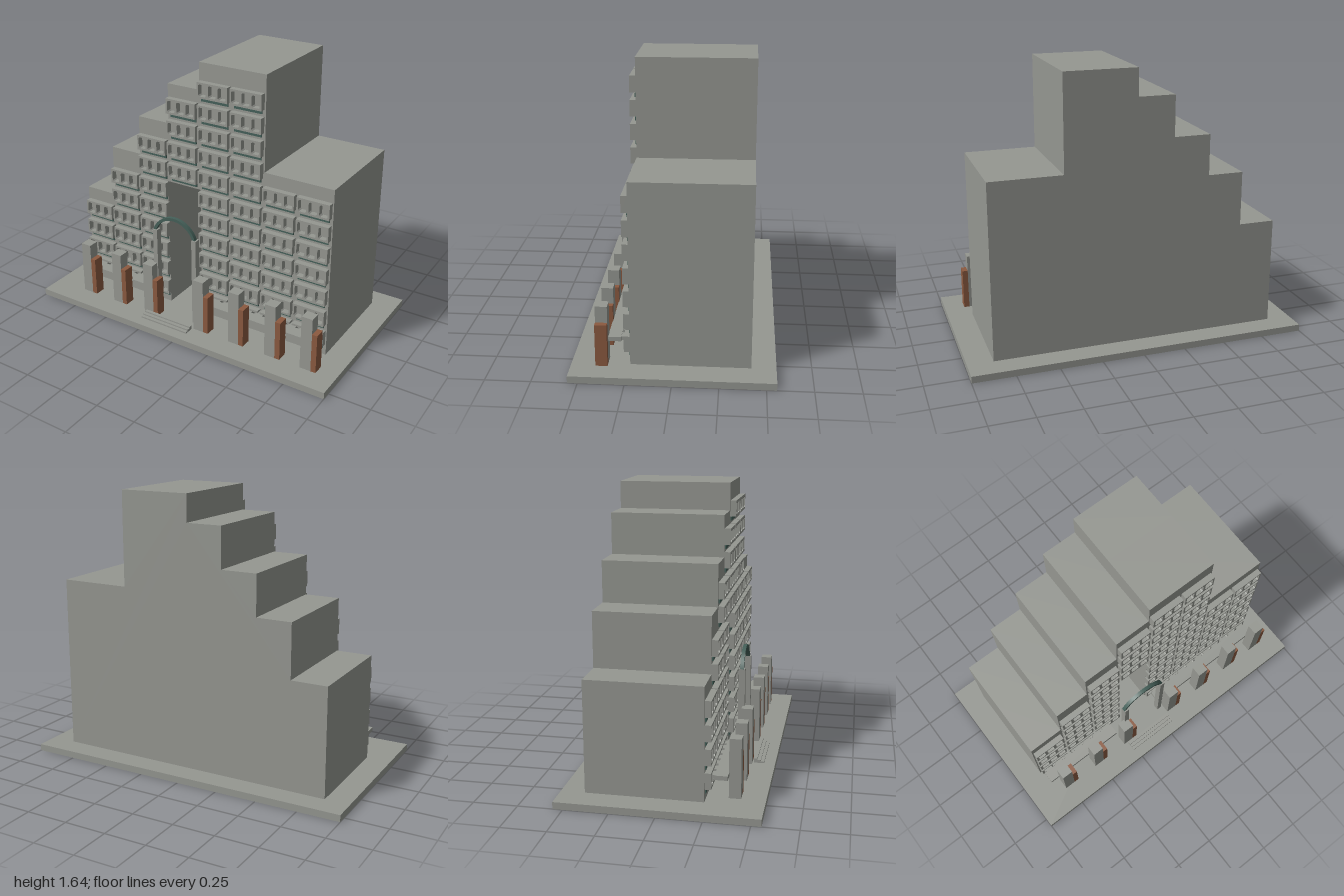
import * as THREE from 'three';

const mat = (name, color) => {
  const m = new THREE.MeshStandardMaterial({ color });
  m.name = name;
  return m;
};

export function createModel() {
  const root = new THREE.Group();
  root.name = 'steppedBuilding';
  const stone = mat('grey stone', 0x959791);
  const green = mat('dark green metal', 0x456059);
  const brown = mat('rust brown', 0x8b5a40);

  const add = (name, geometry, material, x = 0, y = 0, z = 0, parent = root) => {
    const mesh = new THREE.Mesh(geometry, material);
    mesh.name = name;
    mesh.position.set(x, y, z);
    parent.add(mesh);
    return mesh;
  };
  // Box given by its minimum and maximum on each axis
  const box = (name, material, x0, x1, y0, y1, z0, z1, parent = root) =>
    add(name, new THREE.BoxGeometry(x1 - x0, y1 - y0, z1 - z0), material,
      (x0 + x1) / 2, (y0 + y1) / 2, (z0 + z1) / 2, parent);
  const group = (name) => {
    const g = new THREE.Group();
    g.name = name;
    root.add(g);
    return g;
  };
  const shapeOf = (pts) => new THREE.Shape(pts.map(([x, y]) => new THREE.Vector2(x, y)));
  const extrude = (shape, depth) =>
    new THREE.ExtrudeGeometry(shape, { depth, bevelEnabled: false, curveSegments: 24 });

  // Ground slab
  box('groundSlab', stone, -1, 1, 0, 0.04, -0.555, 0.555);

  // Stepped body: solid rear layer, front layer with a tall entrance niche
  const WALL = 0.235, NICHE = -0.115;
  const steps = [
    [0.85, 0.04], [0.85, 1.08], [0.425, 1.08], [0.425, 1.64], [0, 1.64], [0, 1.48],
    [-0.215, 1.48], [-0.215, 1.24], [-0.43, 1.24], [-0.43, 1], [-0.64, 1],
    [-0.64, 0.68], [-0.855, 0.68], [-0.855, 0.04],
  ];
  const notch = [[-0.23, 0.04], [-0.23, 0.87], [0.01, 0.87], [0.01, 0.04]];
  add('bodyRear', extrude(shapeOf(steps), NICHE + 0.42), stone, 0, 0, -0.42);
  add('bodyFront', extrude(shapeOf([...steps, ...notch]), WALL - NICHE), stone, 0, 0, NICHE);

  // Panel with three chamfered window openings
  const windowPanel = (w, h, holeW, y0, y1, depth) => {
    const shape = shapeOf([[-w / 2, 0], [w / 2, 0], [w / 2, h], [-w / 2, h]]);
    const c = 0.007, a = holeW / 2;
    for (const i of [-1, 0, 1]) {
      const m = i * 0.064;
      shape.holes.push(new THREE.Path([
        [m - a, y0 + c], [m - a, y1 - c], [m - a + c, y1], [m + a - c, y1],
        [m + a, y1 - c], [m + a, y0 + c], [m + a - c, y0], [m - a + c, y0],
      ].map(([x, y]) => new THREE.Vector2(x, y))));
    }
    return extrude(shape, depth);
  };

  // Window bays with a green strip beneath each
  const bays = group('windowBays');
  const bayGeo = windowPanel(0.198, 0.092, 0.05, 0.012, 0.08, 0.035);
  const stripGeo = new THREE.BoxGeometry(0.175, 0.02, 0.008);
  const topFloor = [3, 5, 7, 9, 10, 10, 6, 6];
  topFloor.forEach((top, col) => {
    const x = -0.855 + 0.2131 * (col + 0.5);
    for (let k = col === 3 ? 6 : 0; k <= top; k++) {
      const y = 0.109 + k * 0.1335;
      add('windowBay', bayGeo, stone, x, y, WALL, bays);
      add('greenStrip', stripGeo, green, x, y - 0.016, WALL + 0.003, bays);
    }
  });

  // Windows on the niche back wall
  const nicheGeo = windowPanel(0.22, 0.13, 0.056, 0.02, 0.105, 0.02);
  for (const y of [0.085, 0.25, 0.45, 0.65]) add('nicheWindows', nicheGeo, stone, -0.11, y, NICHE);

  // Entrance posts and arch
  for (const x of [-0.255, 0.02]) box('archPost', stone, x, x + 0.03, 0.04, 0.6, 0.33, 0.368);
  const t = Math.asin(0.052 / 0.157);
  const arch = new THREE.Shape();
  arch.absarc(0, 0, 0.157, t, Math.PI - t, false);
  arch.absarc(0, 0, 0.139, Math.PI - t, t, true);
  add('entranceArch', extrude(arch, 0.022), green, -0.108, 0.548, 0.338);

  // Entrance steps
  for (let i = 0; i < 3; i++) {
    box('entranceStep', stone, -0.275, 0.055, 0.04, 0.065 - i * 0.008, 0.43 + i * 0.02, 0.45 + i * 0.02);
  }

  // Low canopies with brackets back to the wall
  const canopies = group('canopies');
  for (const [x0, x1, n] of [[-0.84, -0.315, 7], [0.03, 0.83, 11]]) {
    box('canopySlab', stone, x0, x1, 0.165, 0.19, 0.285, 0.357, canopies);
    const pitch = (x1 - x0) / n;
    for (let i = 0; i < n; i++) {
      const m = x0 + (i + 0.5) * pitch;
      box('canopyBracket', stone, m - 0.024, m + 0.024, 0.167, 0.188, WALL, 0.287, canopies);
    }
  }

  // Street pillars with a brown side block
  const pillars = group('pillars');
  for (const x of [-0.78, -0.54, -0.3, 0.065, 0.308, 0.55, 0.78]) {
    box('pillar', stone, x, x + 0.068, 0.04, 0.377, 0.355, 0.421, pillars);
    box('pillarSide', brown, x + 0.068, x + 0.1, 0.04, 0.283, 0.355, 0.421, pillars);
  }
  return root;
}
